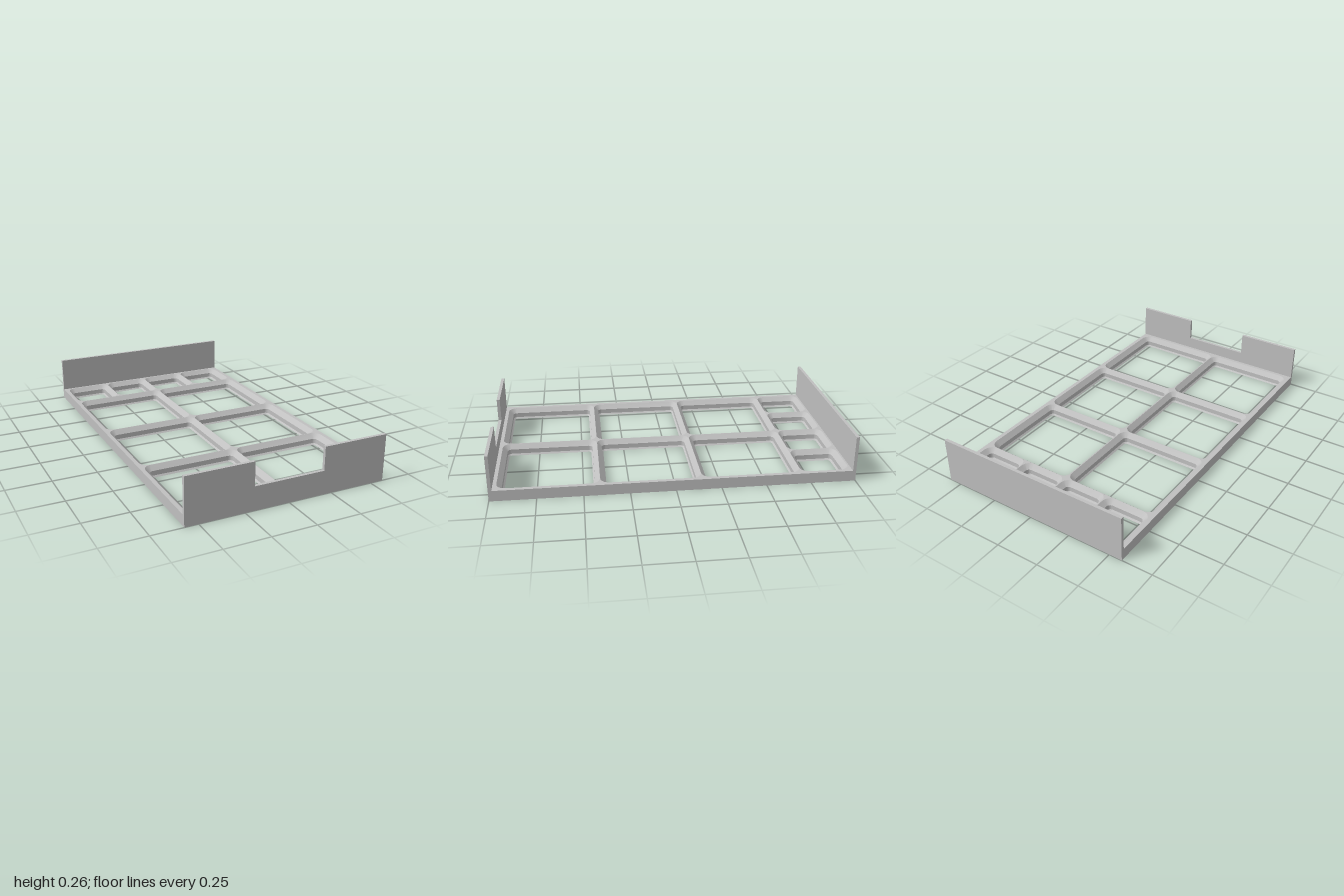
import * as THREE from 'three';
import { mergeGeometries, toCreasedNormals } from 'three/addons/utils/BufferGeometryUtils.js';

const W = 1.15, L = 2, PLATE = 0.0615, WALL_H = 0.265, WALL_T = 0.018;
const PITCH = 0.553, BACK = -0.973;

// pocket profile from the rim down: [inset, height]
const PROFILE = [[0, PLATE], [0.026, 0.0355], [0.026, 0.0085], [0.0345, 0]];

// rounded rectangle as (x, z) points
function outline(cx, cz, w, d, r, n = 6) {
  const pts = [];
  for (let q = 0; q < 4; q++) {
    const sx = q === 0 || q === 3 ? 1 : -1, sz = q < 2 ? 1 : -1;
    for (let i = 0; i <= n; i++) {
      const a = (q + i / n) * Math.PI / 2;
      pts.push(new THREE.Vector2(
        cx + sx * (w / 2 - r) + r * Math.cos(a),
        cz + sz * (d / 2 - r) + r * Math.sin(a)));
    }
  }
  return pts;
}

// skin between stacked rings, listed from top to bottom
function loft(rings, heights, outward) {
  const pos = [];
  for (let k = 0; k < rings.length - 1; k++) {
    const n = rings[k].length;
    for (let i = 0; i < n; i++) {
      const j = (i + 1) % n;
      const at = (ring, m) => [rings[ring][m].x, heights[ring], rings[ring][m].y];
      const a = at(k, i), b = at(k, j), c = at(k + 1, i), d = at(k + 1, j);
      pos.push(...(outward ? [a, b, c, b, d, c] : [a, c, b, b, c, d]).flat());
    }
  }
  const g = new THREE.BufferGeometry();
  g.setAttribute('position', new THREE.Float32BufferAttribute(pos, 3));
  return toCreasedNormals(g, 0.5);
}

// flat horizontal face with holes, facing up (dir 1) or down (dir -1)
function face(rim, holes, y, dir) {
  const flip = pts => pts.map(p => new THREE.Vector2(p.x, -dir * p.y));
  const shape = new THREE.Shape(flip(rim));
  shape.holes = holes.map(h => new THREE.Path(flip(h)));
  const g = new THREE.ShapeGeometry(shape).toNonIndexed();
  g.deleteAttribute('uv');
  return g.rotateX(-dir * Math.PI / 2).translate(0, y, 0);
}

export function createModel() {
  const model = new THREE.Group();
  model.name = 'drawerGrid';
  const grey = new THREE.MeshStandardMaterial({ color: 0xc0c0c0 });
  grey.name = 'grey';
  const add = (name, geometry) => {
    const mesh = new THREE.Mesh(geometry, grey);
    mesh.name = name;
    model.add(mesh);
    return mesh;
  };

  // cell layout: one row of four half cells, then three rows of two full cells
  const cells = [];
  const half = PITCH / 2;
  for (let i = 0; i < 4; i++) cells.push([(i - 1.5) * half, BACK + half / 2, half]);
  for (let row = 0; row < 3; row++)
    for (const s of [-1, 1]) cells.push([s * half, BACK + half + (row + 0.5) * PITCH, PITCH]);

  // grid plate with chamfered pockets
  const x = W / 2, z = L / 2 - WALL_T;
  const rim = [[x, -z], [x, z], [-x, z], [-x, -z]].map(p => new THREE.Vector2(...p));
  const pockets = cells.map(([cx, cz, size]) => PROFILE.map(([inset]) => {
    const s = size - 0.002 - 2 * inset;
    return outline(cx, cz, s, s, 0.05 - inset);
  }));
  const heights = PROFILE.map(p => p[1]);
  add('gridPlate', mergeGeometries([
    loft([rim, rim], [PLATE, 0], true),
    face(rim, pockets.map(p => p[0]), PLATE, 1),
    face(rim, pockets.map(p => p[3]), 0, -1),
    ...pockets.map(p => loft(p, heights, false)),
  ]));

  // plain back wall
  add('backWall', new THREE.BoxGeometry(W, WALL_H, WALL_T))
    .position.set(0, WALL_H / 2, -L / 2 + WALL_T / 2);

  // front wall with a finger notch
  const notch = 0.2, sill = 0.133;
  const front = new THREE.Shape([
    [-x, 0], [x, 0], [x, WALL_H], [notch, WALL_H],
    [notch, sill], [-notch, sill], [-notch, WALL_H], [-x, WALL_H],
  ].map(p => new THREE.Vector2(...p)));
  add('frontWall', new THREE.ExtrudeGeometry(front, { depth: WALL_T, bevelEnabled: false }))
    .position.z = z;

  return model;
}
